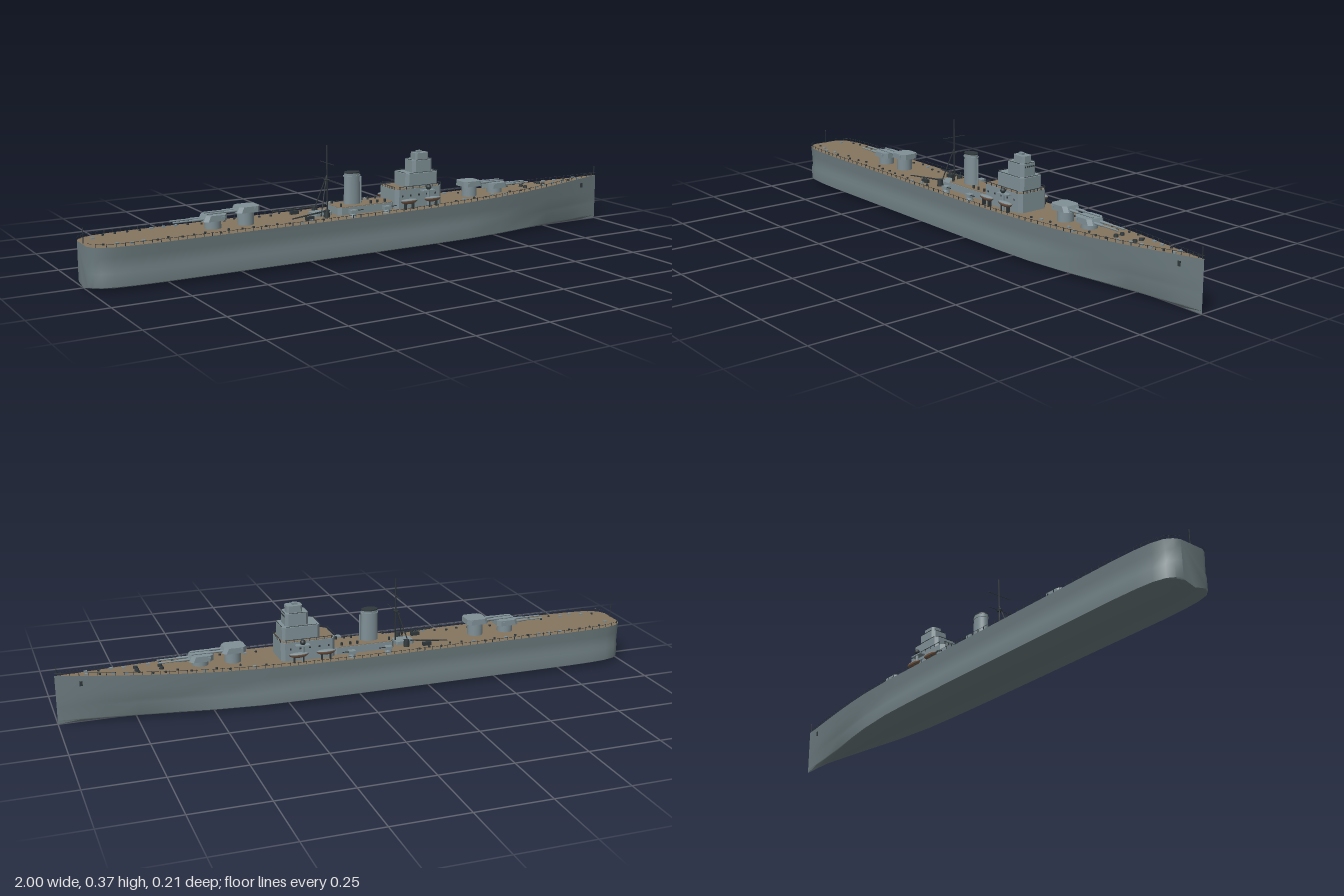
import * as THREE from 'three';
import { mergeGeometries, toCreasedNormals } from 'three/addons/utils/BufferGeometryUtils.js';

const mat = (name, color, side = THREE.FrontSide) => {
  const m = new THREE.MeshStandardMaterial({ color, side });
  m.name = name;
  return m;
};

// Plan outline: [x, half width]
const PLAN = [[-1, 0.045], [-0.99, 0.066], [-0.97, 0.083], [-0.93, 0.095], [-0.87, 0.101], [-0.78, 0.104],
  [-0.4, 0.104], [0, 0.104], [0.2, 0.102], [0.35, 0.098], [0.5, 0.087], [0.62, 0.071], [0.74, 0.051],
  [0.85, 0.03], [0.93, 0.014], [1, 0.0006]];
const deckY = (x) => 0.138 + 0.027 * Math.max(0, (x + 0.1) / 1.1) ** 2;
const halfWidth = (x) => {
  const i = Math.max(1, PLAN.findIndex((p) => p[0] >= x));
  const [a, b] = [PLAN[i - 1], PLAN[i]];
  return THREE.MathUtils.lerp(a[1], b[1], (x - a[0]) / (b[0] - a[0]));
};

function surface(positions, crease) {
  const g = new THREE.BufferGeometry();
  g.setAttribute('position', new THREE.Float32BufferAttribute(positions, 3));
  g.computeVertexNormals();
  return toCreasedNormals(g, crease);
}

// Hull skin lofted through cross-sections
function hullGeometry() {
  const rings = PLAN.map(([x, w]) => {
    const fine = THREE.MathUtils.smoothstep(x, 0.3, 0.95);
    const low = w * (1 - 0.3 * fine);
    const mid = w * (0.945 - 0.12 * fine);
    const half = [[low * 0.93, 0.01], [low, 0.014], [low, 0.056], [mid, 0.07], [w * (0.97 - 0.04 * fine), 0.105], [w, deckY(x)]];
    return [...half.map(([z, y]) => [x, y, -z]).reverse(), [x, 0, 0], ...half.map(([z, y]) => [x, y, z])];
  });
  const out = [];
  for (let i = 0; i < rings.length - 1; i++) {
    for (let j = 0; j < rings[i].length - 1; j++) {
      const [a, b, c, d] = [rings[i][j], rings[i + 1][j], rings[i + 1][j + 1], rings[i][j + 1]];
      out.push(...a, ...b, ...c, ...a, ...c, ...d);
    }
  }
  const r = rings[0];
  for (let j = 1; j < r.length - 1; j++) out.push(...r[0], ...r[j], ...r[j + 1]);
  return surface(out, 0.6);
}

function deckGeometry() {
  const out = [];
  for (let i = 0; i < PLAN.length - 1; i++) {
    const [[x0, w0], [x1, w1]] = [PLAN[i], PLAN[i + 1]];
    const [y0, y1] = [deckY(x0), deckY(x1)];
    const [a, b, c, d] = [[x0, y0, -w0], [x0, y0, w0], [x1, y1, w1], [x1, y1, -w1]];
    out.push(...a, ...b, ...c, ...a, ...c, ...d);
  }
  return surface(out, 0.5);
}

// Upright block with chamfered corners, from y0 to y1
function block(x0, x1, hz, y0, y1, ch = 0.01) {
  const s = new THREE.Shape([[x0 + ch, -hz], [x1 - ch, -hz], [x1, -hz + ch], [x1, hz - ch],
    [x1 - ch, hz], [x0 + ch, hz], [x0, hz - ch], [x0, -hz + ch]].map((p) => new THREE.Vector2(...p)));
  return new THREE.ExtrudeGeometry(s, { depth: y1 - y0, bevelEnabled: false }).rotateX(-Math.PI / 2).translate(0, y0, 0);
}
const box = (w, h, d, x, y, z) => new THREE.BoxGeometry(w, h, d).translate(x, y, z);
const cyl = (r0, r1, h, x, y, z, n = 16) => new THREE.CylinderGeometry(r0, r1, h, n).translate(x, y + h / 2, z);
function rod(a, b, r, n = 6) {
  const p = new THREE.Vector3(...a), d = new THREE.Vector3(...b).sub(p);
  const g = new THREE.CylinderGeometry(r, r, d.length(), n);
  g.applyQuaternion(new THREE.Quaternion().setFromUnitVectors(new THREE.Vector3(0, 1, 0), d.clone().normalize()));
  return g.translate(p.x + d.x / 2, p.y + d.y / 2, p.z + d.z / 2);
}

export function createModel() {
  const hullGrey = mat('hull grey', 0x6c7b7f);
  const grey = mat('superstructure grey', 0x7f9096);
  const wood = mat('deck wood', 0x85755f);
  const dark = mat('dark fittings', 0x30383b);
  const boatBrown = mat('boat brown', 0x7a5a45);
  const ship = new THREE.Group();
  ship.name = 'warship';
  const add = (name, material, geos, parent = ship) => {
    const list = [].concat(geos).map((g) => (g.index ? g.toNonIndexed() : g));
    const mesh = new THREE.Mesh(list.length > 1 ? mergeGeometries(list) : list[0], material);
    mesh.name = name;
    parent.add(mesh);
    return mesh;
  };

  add('hull', hullGrey, hullGeometry());
  add('mainDeck', wood, deckGeometry());

  // Deck edge railings
  const rails = [];
  for (const s of [-1, 1]) {
    for (let x = -0.98; x < 0.99; x += 0.028) {
      rails.push(box(0.0016, 0.011, 0.0016, x, deckY(x) + 0.0055, s * (halfWidth(x) - 0.002)));
    }
    for (let i = 0; i < PLAN.length - 1; i++) {
      const [[a, wa], [b, wb]] = [PLAN[i], PLAN[i + 1]];
      rails.push(rod([a, deckY(a) + 0.01, s * wa], [b, deckY(b) + 0.01, s * wb], 0.0006, 4));
    }
  }
  add('railings', dark, rails);
  add('flagstaffs', dark, [rod([-0.995, 0.138, 0], [-0.995, 0.188, 0], 0.0015), rod([0.993, 0.16, 0], [0.993, 0.2, 0], 0.0015)]);
  add('anchors', dark, [-1, 1].map((s) => box(0.01, 0.016, 0.006, 0.92, 0.135, s * 0.0145)));

  // Twin gun turrets; dir is the way the barrels point
  for (const [x, y, dir] of [[0.53, 0.165, 1], [0.42, 0.181, 1], [-0.455, 0.181, -1], [-0.57, 0.165, -1]]) {
    const turret = new THREE.Group();
    turret.name = 'gunTurret';
    turret.position.set(x, 0, 0);
    turret.rotation.y = dir > 0 ? 0 : Math.PI;
    ship.add(turret);
    add('barbette', grey, cyl(0.027, 0.027, y - 0.136, 0, 0.136, 0, 20), turret);
    const house = block(-0.04, 0.04, 0.034, y, y + 0.019, 0.012);
    const p = house.attributes.position;
    for (let i = 0; i < p.count; i++) if (p.getY(i) > y + 0.01 && p.getX(i) > 0.02) p.setX(i, p.getX(i) - 0.008);
    house.computeVertexNormals();
    add('gunhouse', grey, house, turret);
    add('rangefinder', grey, box(0.012, 0.006, 0.074, -0.022, y + 0.012, 0), turret);
    add('barrels', grey, [-1, 1].flatMap((s) => [
      rod([0.03, y + 0.007, s * 0.013], [0.075, y + 0.007, s * 0.013], 0.0042, 10),
      rod([0.07, y + 0.007, s * 0.013], [0.14, y + 0.007, s * 0.013], 0.0028, 10)]), turret);
  }

  // Bridge tower, stacked in tiers
  add('bridgeTower', grey, [
    block(0.08, 0.268, 0.058, 0.135, 0.205, 0.012), block(0.13, 0.26, 0.045, 0.205, 0.253),
    block(0.165, 0.245, 0.032, 0.253, 0.295), block(0.182, 0.236, 0.02, 0.295, 0.318, 0.007),
    box(0.018, 0.008, 0.012, 0.205, 0.321, 0)]);
  add('bridgeDeck', wood, block(0.083, 0.265, 0.055, 0.205, 0.207, 0.012));
  const walls = [];
  for (const [x0, x1, hz, y] of [[0.08, 0.268, 0.058, 0.214], [0.13, 0.26, 0.045, 0.256], [0.165, 0.245, 0.032, 0.297]]) {
    for (const s of [-1, 1]) walls.push(box(x1 - x0 - 0.024, 0.0015, 0.0015, (x0 + x1) / 2, y, s * hz));
    walls.push(box(0.0015, 0.0015, hz * 2 - 0.02, x1, y, 0), box(0.0015, 0.0015, hz * 2 - 0.02, x0, y, 0));
  }
  for (let i = 0; i < 7; i++) {
    const z = (i - 3) * 0.015;
    walls.push(box(0.0015, 0.009, 0.0015, 0.268, 0.2095, z), box(0.0015, 0.009, 0.0015, 0.08, 0.2095, z));
    for (const s of [-1, 1]) walls.push(box(0.0015, 0.009, 0.0015, 0.095 + i * 0.026, 0.2095, s * 0.058));
  }
  add('bridgeRails', dark, walls);
  const windows = [];
  for (let i = 0; i < 5; i++) {
    windows.push(box(0.002, 0.005, 0.005, 0.245, 0.285, (i - 2) * 0.009));
    for (const s of [-1, 1]) windows.push(box(0.006, 0.006, 0.002, 0.105 + i * 0.033, 0.182, s * 0.058));
  }
  add('bridgeWindows', dark, windows);

  // Wing directors and secondary guns on each side
  for (const s of [-1, 1]) {
    add('wingPlatform', grey, [box(0.05, 0.004, 0.03, 0.2, 0.196, s * 0.065), cyl(0.005, 0.005, 0.06, 0.2, 0.138, s * 0.074, 8)]);
    add('director', dark, new THREE.SphereGeometry(0.0095, 12, 8).translate(0.2, 0.208, s * 0.074));
    for (const x of [0.03, -0.1]) {
      add('secondaryGun', grey, [cyl(0.01, 0.013, 0.012, x, 0.138, s * 0.078, 10), box(0.024, 0.011, 0.02, x, 0.155, s * 0.078)]);
      add('secondaryBarrel', dark, rod([x, 0.157, s * 0.08], [x + 0.035, 0.16, s * 0.085], 0.0015));
    }
    // Ship's boats on cradles
    for (const x of [0.12, 0.215]) {
      add('boat', boatBrown, new THREE.SphereGeometry(1, 12, 6, 0, Math.PI * 2, Math.PI / 2, Math.PI / 2).scale(0.034, 0.013, 0.011).translate(x, 0.17, s * 0.077));
      add('boatCover', grey, new THREE.SphereGeometry(1, 12, 4, 0, Math.PI * 2, 0, Math.PI / 2).scale(0.034, 0.005, 0.011).translate(x, 0.17, s * 0.077));
      add('boatCradle', dark, [-0.015, 0.015].map((d) => box(0.003, 0.024, 0.014, x + d, 0.15, s * 0.077)));
    }
  }

  // Midships deckhouse and funnel
  add('deckhouse', grey, block(-0.135, 0.082, 0.046, 0.135, 0.163));
  add('deckhouseRoof', wood, block(-0.133, 0.08, 0.044, 0.163, 0.165));
  add('deckhouseFittings', dark, [-0.12, -0.005, 0.02, 0.05].flatMap((x) => [-1, 1].map((s) => cyl(0.004, 0.004, 0.01, x, 0.165, s * 0.032, 8))));
  const oval = (g) => g.scale(1, 1, 0.72).translate(-0.06, 0, 0);
  add('funnel', grey, [oval(cyl(0.028, 0.03, 0.107, 0, 0.163, 0, 24)), oval(cyl(0.031, 0.031, 0.004, 0, 0.258, 0, 24))]);
  add('funnelMouth', dark, oval(cyl(0.0285, 0.0285, 0.004, 0, 0.27, 0, 24)));
  add('funnelPipe', grey, cyl(0.004, 0.004, 0.09, -0.026, 0.165, 0, 8));

  // Tripod mast with yards and lookout platform
  add('mast', dark, [rod([-0.155, 0.138, 0], [-0.155, 0.372, 0], 0.0024), ...[-1, 1].map((s) => rod([-0.195, 0.138, s * 0.03], [-0.156, 0.27, 0], 0.002)),
    rod([-0.155, 0.311, -0.047], [-0.155, 0.311, 0.047], 0.0012), rod([-0.155, 0.256, -0.042], [-0.155, 0.256, 0.08], 0.0012),
    cyl(0.01, 0.008, 0.006, -0.157, 0.25, 0, 10)]);
  add('mastHouse', grey, block(-0.215, -0.15, 0.025, 0.135, 0.15, 0.005));

  // Folded lattice cranes
  for (const s of [-1, 1]) {
    const truss = [];
    const at = (t, k) => [-0.17 - 0.15 * t, 0.16 - 0.008 * t, s * (0.04 + 0.028 * t) + k * 0.006 * (1 - t * 0.6)];
    for (let i = 0; i < 8; i++) {
      const [t, u] = [i / 8, (i + 1) / 8];
      for (const k of [-1, 1]) truss.push(rod(at(t, k), at(u, k), 0.0014, 4));
      truss.push(rod(at(t, i % 2 ? 1 : -1), at(u, i % 2 ? -1 : 1), 0.001, 4));
    }
    truss.push(cyl(0.009, 0.011, 0.024, -0.18, 0.138, s * 0.043, 10), box(0.03, 0.012, 0.012, -0.25, 0.144, s * 0.055));
    add('crane', dark, truss);
  }

  // Hatches, bollards and ventilators scattered along the deck
  let seed = 7;
  const rnd = () => (seed = (seed * 16807) % 2147483647) / 2147483647;
  const bits = [], vents = [];
  for (let i = 0; i < 46; i++) {
    const x = -0.95 + 1.85 * (i / 45);
    if (x > -0.2 && x < 0.3) continue;
    for (const s of [-1, 1]) {
      const z = s * halfWidth(x) * (0.5 + 0.35 * rnd());
      if (rnd() < 0.6) bits.push(cyl(0.004, 0.004, 0.006, x, deckY(x) - 0.001, z, 8));
      else vents.push(box(0.011, 0.006, 0.008, x, deckY(x) + 0.002, z));
    }
  }
  for (const x of [0.66, 0.74]) bits.push(cyl(0.007, 0.008, 0.009, x, deckY(x) - 0.001, 0.013, 10), cyl(0.007, 0.008, 0.009, x, deckY(x) - 0.001, -0.013, 10));
  add('bollards', dark, bits);
  add('hatches', grey, vents);
  return ship;
}
